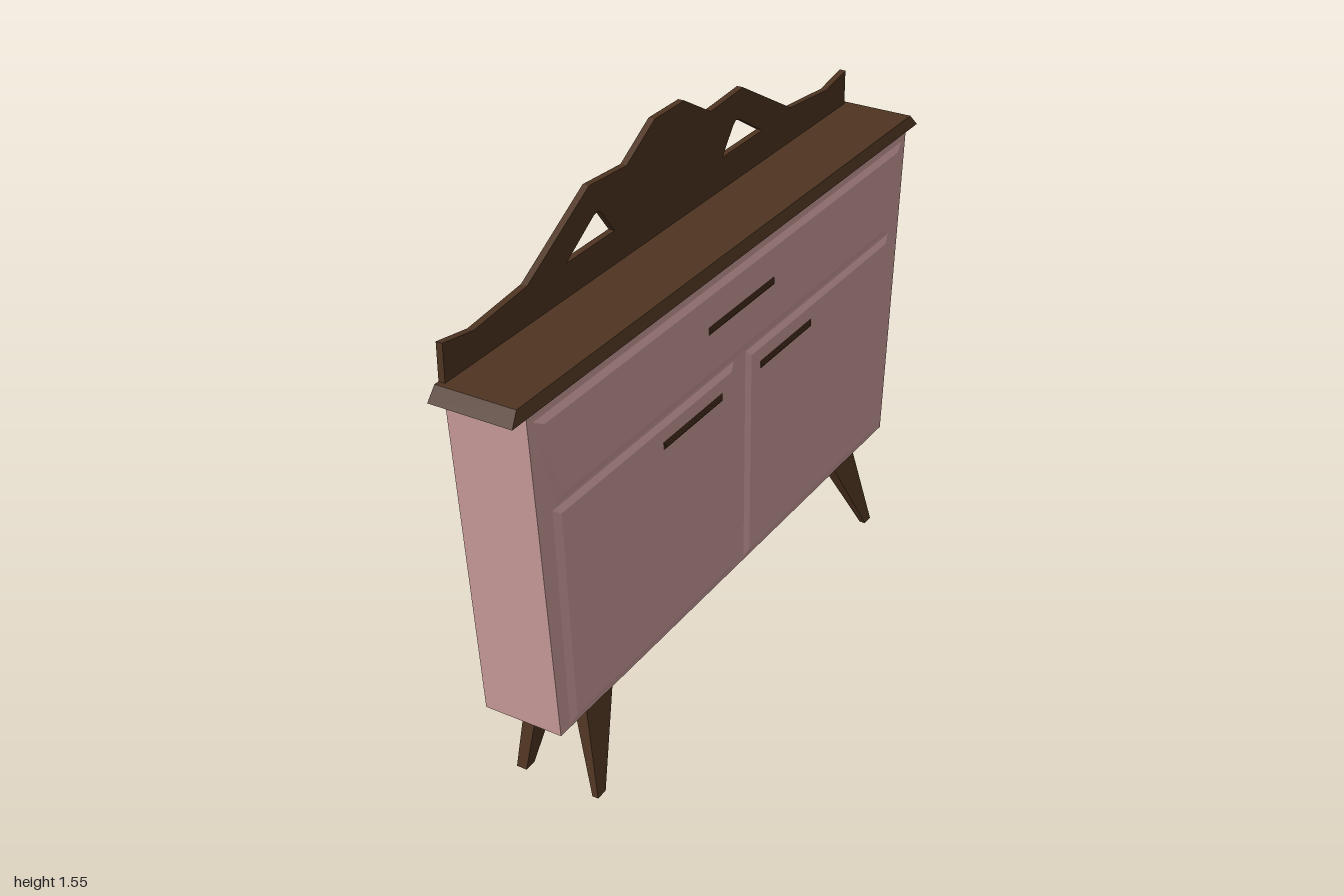
import * as THREE from 'three';

const pink = new THREE.MeshStandardMaterial({ name: 'pinkPaint', color: 0xcb9c9c, side: THREE.DoubleSide });
const wood = new THREE.MeshStandardMaterial({ name: 'darkWood', color: 0x4e3421, side: THREE.DoubleSide });

const BACK = -0.13, FRONT = 0.094, RAISED = 0.1;

function addMesh(parent, name, geometry, material) {
  const mesh = new THREE.Mesh(geometry, material);
  mesh.name = name;
  parent.add(mesh);
  return mesh;
}

// Flat faces from four-cornered lists of [x, y, z]
function quads(list) {
  const pos = [];
  for (const [a, b, c, d] of list) pos.push(...a, ...b, ...c, ...a, ...c, ...d);
  const g = new THREE.BufferGeometry();
  g.setAttribute('position', new THREE.Float32BufferAttribute(pos, 3));
  g.computeVertexNormals();
  return g;
}

// Solid between two four-cornered loops (both counter-clockwise seen from above)
function loft(low, high) {
  const faces = [[...low].reverse(), high];
  for (let i = 0; i < 4; i++) {
    const j = (i + 1) % 4;
    faces.push([low[i], low[j], high[j], high[i]]);
  }
  return quads(faces);
}

// Horizontal rectangle at height y
const rect = (x0, x1, z0, z1, y) => [[x0, y, z1], [x1, y, z1], [x1, y, z0], [x0, y, z0]];

// Shape drawn in (-z, y), turned to face +x
function toSide(geometry, x) {
  return geometry.rotateY(Math.PI / 2).translate(x, 0, 0);
}
const outline = (pts, Type = THREE.Shape) => new Type(pts.map(([u, v]) => new THREE.Vector2(u, v)));
const mirrored = (pts) => pts.map(([u, v]) => [-u, v]).reverse();

export function createModel() {
  const model = new THREE.Group();
  model.name = 'sideboard';

  // Raised panel outlines and their bevelled inner edges
  const drawer = {
    outer: [[-0.843, 0.9], [0.843, 0.9], [0.915, 1.175], [-0.915, 1.175]].map(([u, v]) => [u, v + (v < 1 ? 0.018 : 0)]),
    inner: [[-0.815, 0.938], [0.815, 0.938], [0.88, 1.155], [-0.88, 1.155]],
  };
  const door = {
    outer: [[0.03, 0.268], [0.82, 0.268], [0.855, 0.91], [0.03, 0.91]],
    inner: [[0.052, 0.285], [0.795, 0.285], [0.828, 0.89], [0.052, 0.89]],
  };
  const otherDoor = { outer: mirrored(door.outer), inner: mirrored(door.inner) };
  const panels = { drawerFront: drawer, rightDoor: door, leftDoor: otherDoor };

  // Body: front frame with openings, sloping ends; back and bottom stay open
  const body = new THREE.Group();
  body.name = 'body';
  model.add(body);
  const frame = outline([[-0.86, 0.26], [0.86, 0.26], [0.94, 1.2], [-0.94, 1.2]]);
  for (const p of Object.values(panels)) frame.holes.push(outline(p.outer, THREE.Path));
  addMesh(body, 'frontFrame', toSide(new THREE.ShapeGeometry(frame), FRONT), pink);
  addMesh(body, 'leftEnd', quads([
    [[BACK, 0.26, 0.86], [FRONT, 0.26, 0.86], [FRONT, 1.2, 0.94], [BACK, 1.2, 0.94]]]), pink);
  addMesh(body, 'rightEnd', quads([
    [[FRONT, 0.26, -0.86], [BACK, 0.26, -0.86], [BACK, 1.2, -0.94], [FRONT, 1.2, -0.94]]]), pink);

  // Drawer and door fronts with bevelled borders
  for (const [name, { outer, inner }] of Object.entries(panels)) {
    const o = outer.map(([u, v]) => [FRONT, v, -u]);
    const n = inner.map(([u, v]) => [RAISED, v, -u]);
    const faces = [n];
    for (let i = 0; i < 4; i++) {
      const j = (i + 1) % 4;
      faces.push([o[i], o[j], n[j], n[i]]);
    }
    addMesh(body, name, quads(faces), pink);
  }

  // Top board with sloping edges and a painted underside
  addMesh(model, 'topBoard', loft(
    rect(BACK, 0.1, -1, 1, 1.2), rect(BACK, 0.092, -0.97, 0.97, 1.234)), wood);
  addMesh(model, 'topUnderside', quads([rect(BACK, FRONT, -0.985, 0.985, 1.198).reverse()]), pink);

  // Backboard with two cut-outs
  const half = [[0.955, 1.21], [0.955, 1.335], [0.84, 1.315], [0.63, 1.335],
    [0.365, 1.485], [0.2, 1.475], [0.07, 1.55]];
  const board = outline([...half, ...mirrored(half)]);
  const cut = [[0.47, 1.325], [0.26, 1.325], [0.315, 1.395], [0.33, 1.405], [0.35, 1.4]];
  board.holes.push(outline(cut, THREE.Path), outline(mirrored(cut), THREE.Path));
  addMesh(model, 'backboard', toSide(
    new THREE.ExtrudeGeometry(board, { depth: 0.018, bevelEnabled: false }), BACK), wood);

  // Handles, showing slightly through the sheet behind
  const handles = [['drawerHandle', 0, 1.06, 0.33], ['leftHandle', 0.242, 0.84, 0.283], ['rightHandle', -0.238, 0.84, 0.277]];
  for (const [name, z, y, length] of handles) {
    const handle = new THREE.Group();
    handle.name = name;
    handle.position.set(0.097, y, z);
    model.add(handle);
    addMesh(handle, 'plate', new THREE.BoxGeometry(0.01, 0.02, length), wood);
    addMesh(handle, 'lip', new THREE.BoxGeometry(0.016, 0.008, length - 0.01), wood);
  }

  // Tapered, splayed legs
  for (const side of [1, -1]) {
    const span = (x0, x1, a, b, y) => rect(x0, x1, Math.min(a * side, b * side), Math.max(a * side, b * side), y);
    const suffix = side > 0 ? 'Left' : 'Right';
    addMesh(model, 'frontLeg' + suffix, loft(
      span(0.108, 0.125, 0.72, 0.755, 0), span(0.03, 0.07, 0.59, 0.717, 0.26)), wood);
    addMesh(model, 'backLeg' + suffix, loft(
      span(-0.125, -0.095, 0.72, 0.755, 0), span(-0.105, -0.063, 0.59, 0.717, 0.26)), wood);
  }
  return model;
}
